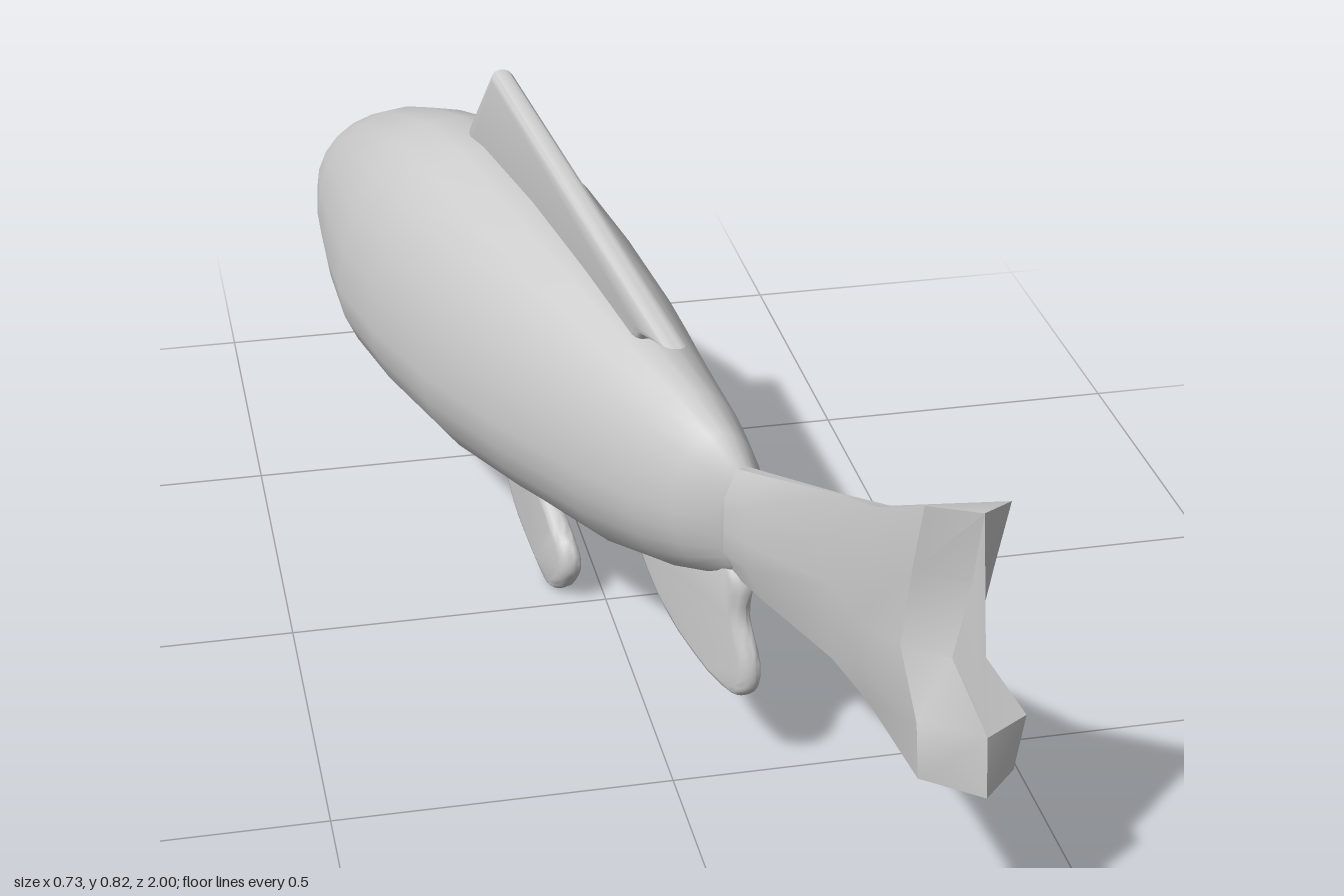
import * as THREE from 'three';
import { toCreasedNormals } from 'three/addons/utils/BufferGeometryUtils.js';

const material = new THREE.MeshStandardMaterial({ color: 0xcccccc, side: THREE.DoubleSide });

// Body stations, nose to tail root: z, centre x, half width, bottom y, widest y, top y
const STATIONS = [
  [-0.998, -0.225, 0.006, 0.36, 0.365, 0.37],
  [-0.95, -0.228, 0.075, 0.335, 0.372, 0.42],
  [-0.91, -0.226, 0.1, 0.315, 0.378, 0.465],
  [-0.82, -0.215, 0.135, 0.265, 0.385, 0.52],
  [-0.71, -0.202, 0.16, 0.226, 0.385, 0.573],
  [-0.57, -0.18, 0.185, 0.21, 0.382, 0.628],
  [-0.42, -0.155, 0.205, 0.2, 0.38, 0.675],
  [-0.28, -0.12, 0.207, 0.195, 0.38, 0.683],
  [-0.1, -0.08, 0.192, 0.2, 0.385, 0.667],
  [0.08, -0.034, 0.163, 0.225, 0.395, 0.638],
  [0.26, 0.013, 0.122, 0.252, 0.405, 0.602],
  [0.38, 0.048, 0.092, 0.29, 0.415, 0.577],
  [0.45, 0.072, 0.066, 0.32, 0.425, 0.548],
  [0.5, 0.094, 0.035, 0.35, 0.43, 0.505],
];

// Centre line of the bent body at a given z
function centreX(z) {
  const i = Math.max(1, STATIONS.findIndex((s) => s[0] >= z));
  const k = STATIONS.at(-1)[0] < z ? STATIONS.length - 1 : i;
  const [a, b] = [STATIONS[k - 1], STATIONS[k]];
  return a[1] + ((b[1] - a[1]) * (z - a[0])) / (b[0] - a[0]);
}

// Skin a list of closed rings (counter-clockwise seen from +z), capping both ends
function loft(rings) {
  const n = rings[0].length;
  const positions = rings.flat(2);
  const index = [];
  for (let i = 0; i < rings.length - 1; i++) {
    for (let j = 0; j < n; j++) {
      const a = i * n + j;
      const b = i * n + ((j + 1) % n);
      index.push(a, b, a + n, b, b + n, a + n);
    }
  }
  const last = (rings.length - 1) * n;
  for (let j = 1; j < n - 1; j++) {
    index.push(0, j + 1, j, last, last + j, last + j + 1);
  }
  const geometry = new THREE.BufferGeometry();
  geometry.setAttribute('position', new THREE.Float32BufferAttribute(positions, 3));
  geometry.setIndex(index);
  geometry.computeVertexNormals();
  return geometry;
}

function bodyGeometry() {
  const sides = 24;
  return loft(STATIONS.map(([z, cx, w, bottom, mid, top]) =>
    Array.from({ length: sides }, (_, j) => {
      const a = (j / sides) * Math.PI * 2;
      const s = Math.sin(a);
      return [cx + w * Math.cos(a), mid + s * (s > 0 ? top - mid : mid - bottom), z];
    })));
}

// Tail: each ring is a right column going up and a left column coming down
function tailGeometry() {
  const column = (xs, ys, zs) => ys.map((y, i) => [xs[i] ?? xs[0], y, zs[i] ?? zs[0]]);
  const ring = (right, left) => [...right, ...left.slice().reverse()];
  const levels = (bottom, top) => [0, 0.25, 0.45, 0.75, 1].map((t) => bottom + t * (top - bottom));
  const flat = (z, cx, w, bottom, top) => {
    const ys = levels(bottom, top);
    const bulge = [0.3, 1, 1, 1, 0.3];
    return ring(column(bulge.map((k) => cx + w * k), ys, [z]),
      column(bulge.map((k) => cx - w * k), ys, [z]));
  };
  const ys = [0.292, 0.38, 0.46, 0.58, 0.685];
  const right = column([0.35, 0.36, 0.305, 0.318, 0.33], ys, [0.955, 0.96, 0.9, 0.915, 0.93]);
  const left = column([0.222, 0.216, 0.208, 0.213, 0.22], ys, [0.95, 0.95, 0.89, 0.905, 0.92]);
  const ridge = column([0.3, 0.295, 0.265, 0.28, 0.285], [0.285, 0.38, 0.46, 0.58, 0.69],
    [1, 1, 0.93, 0.945, 0.96]);
  return toCreasedNormals(loft([
    flat(0.44, 0.075, 0.035, 0.345, 0.495),
    flat(0.55, 0.118, 0.028, 0.333, 0.53),
    flat(0.69, 0.178, 0.006, 0.315, 0.575),
    flat(0.79, 0.208, 0.03, 0.308, 0.61),
    ring(right, left),
    ring(ridge, ridge),
  ]), 0.7);
}

// Fin: a side outline in (z, y), given thickness and bent along the body centre line
function finGeometry(points, thickness, rounded) {
  const outline = points.map(([z, y]) => new THREE.Vector2(z, y));
  const shape = new THREE.Shape(rounded
    ? new THREE.SplineCurve([...outline, outline[0]]).getPoints(36).slice(0, -1)
    : outline);
  const bevel = thickness * 0.4;
  const geometry = new THREE.ExtrudeGeometry(shape, {
    depth: thickness - 2 * bevel, bevelEnabled: true, bevelThickness: bevel,
    bevelSize: bevel, bevelOffset: -bevel, bevelSegments: 3,
  });
  const p = geometry.attributes.position;
  for (let i = 0; i < p.count; i++) {
    const z = p.getX(i);
    const side = p.getZ(i) - (thickness / 2 - bevel);
    p.setXYZ(i, centreX(z) - side, p.getY(i), z);
  }
  return toCreasedNormals(geometry, 0.9);
}

export function createModel() {
  const group = new THREE.Group();
  const add = (name, geometry) => {
    const mesh = new THREE.Mesh(geometry, material);
    mesh.name = name;
    group.add(mesh);
    return mesh;
  };

  add('body', bodyGeometry());
  add('tailFin', tailGeometry());

  add('dorsalFin', finGeometry([
    [-0.36, 0.63], [0.24, 0.57], [0.26, 0.607], [0.34, 0.625], [-0.25, 0.82], [-0.345, 0.69],
  ], 0.036, false));

  add('pelvicFin', finGeometry([
    [-0.23, 0.23], [-0.23, 0.15], [-0.19, 0.08], [-0.11, 0.028], [-0.05, 0.003],
    [0, 0.05], [0, 0.095], [-0.04, 0.13], [-0.09, 0.18], [-0.11, 0.23],
  ], 0.035, true));

  add('analFin', finGeometry([
    [0.25, 0.29], [0.26, 0.245], [0.34, 0.185], [0.48, 0.143], [0.525, 0.16],
    [0.532, 0.21], [0.508, 0.275], [0.505, 0.345], [0.4, 0.36],
  ], 0.03, true));

  // One barbel on each side of the mouth
  for (const side of [-1, 1]) {
    const root = new THREE.Vector3(-0.216 + side * 0.095, 0.325, -0.865);
    const tip = new THREE.Vector3(-0.216 + side * 0.124, 0.25, -0.79);
    const axis = tip.clone().sub(root);
    const barbel = add(side < 0 ? 'rightBarbel' : 'leftBarbel',
      new THREE.ConeGeometry(0.012, axis.length(), 6));
    barbel.position.copy(root).add(tip).multiplyScalar(0.5);
    barbel.quaternion.setFromUnitVectors(new THREE.Vector3(0, 1, 0), axis.normalize());
  }
  return group;
}
